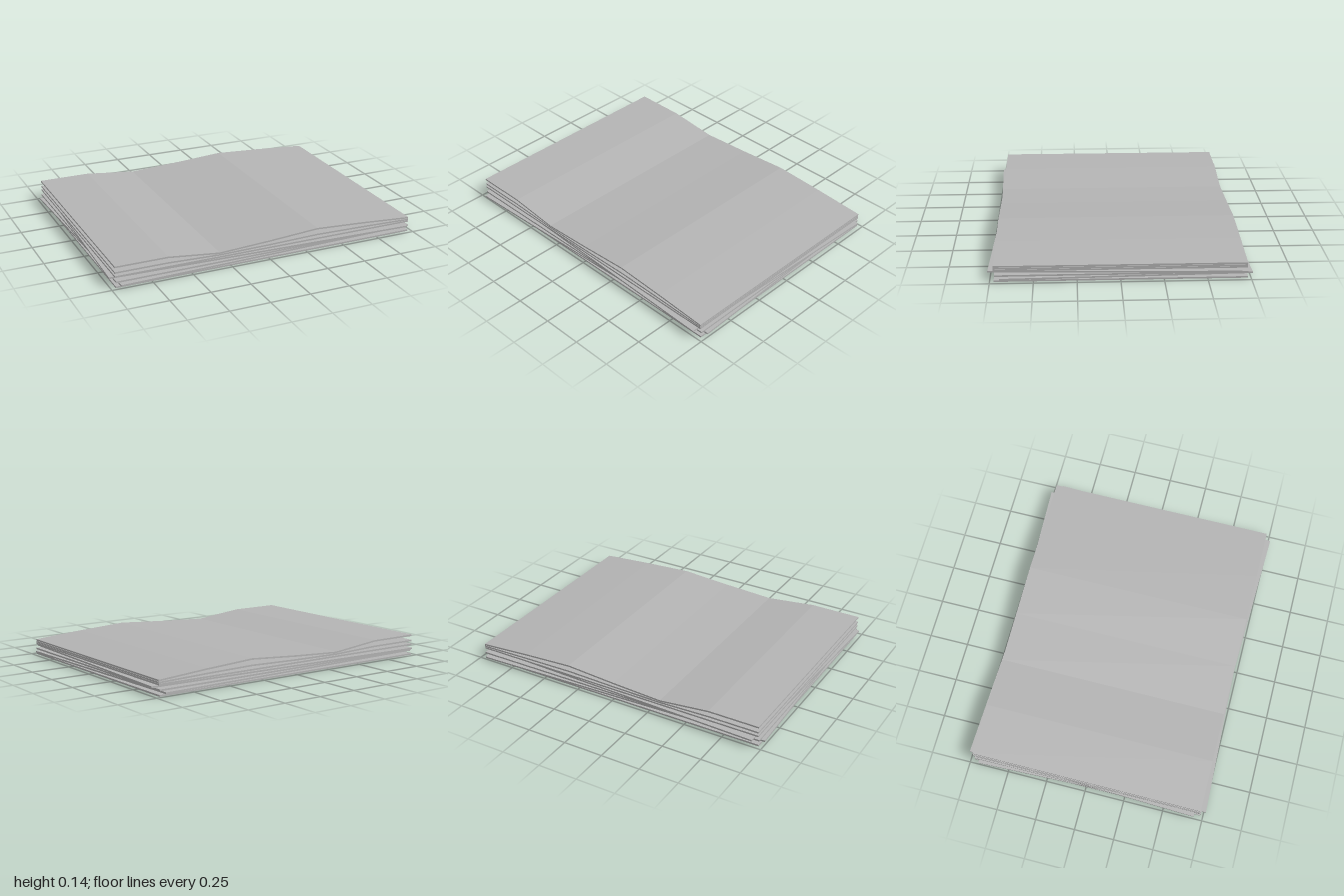
import * as THREE from 'three';

const W = 1.946, D = 1.458, T = 0.01;

export function createModel() {
  const group = new THREE.Group();
  const paper = new THREE.MeshStandardMaterial({ color: 0xb4b4b4 });
  paper.name = 'paperGrey';

  // Flat sheets: [bottom height, turn about the vertical]
  const flat = [[0, 0.003], [0.018, 0.035], [0.032, 0.006], [0.046, -0.035], [0.064, 0]];
  const sheet = new THREE.BoxGeometry(W, T, D);
  flat.forEach(([y, turn], i) => {
    const mesh = new THREE.Mesh(sheet, paper);
    mesh.name = `flatSheet${i + 1}`;
    mesh.position.y = y + T / 2;
    mesh.rotation.y = turn;
    group.add(mesh);
  });

  // Bent sheets: top-surface heights at seven even steps from left edge to right edge
  const bent = {
    lowerBentSheet: [0.099, 0.099, 0.088, 0.092, 0.1, 0.094, 0.085],
    upperBentSheet: [0.134, 0.134, 0.099, 0.116, 0.138, 0.12, 0.097],
  };
  for (const [name, heights] of Object.entries(bent)) {
    const top = heights.map((y, i) => new THREE.Vector2((i / 6 - 0.5) * W, y));
    const bottom = top.map((p) => new THREE.Vector2(p.x, p.y - T)).reverse();
    const geometry = new THREE.ExtrudeGeometry(new THREE.Shape([...top, ...bottom]), {
      depth: D, bevelEnabled: false,
    });
    geometry.translate(0, 0, -D / 2);
    const mesh = new THREE.Mesh(geometry, paper);
    mesh.name = name;
    group.add(mesh);
  }
  return group;
}
